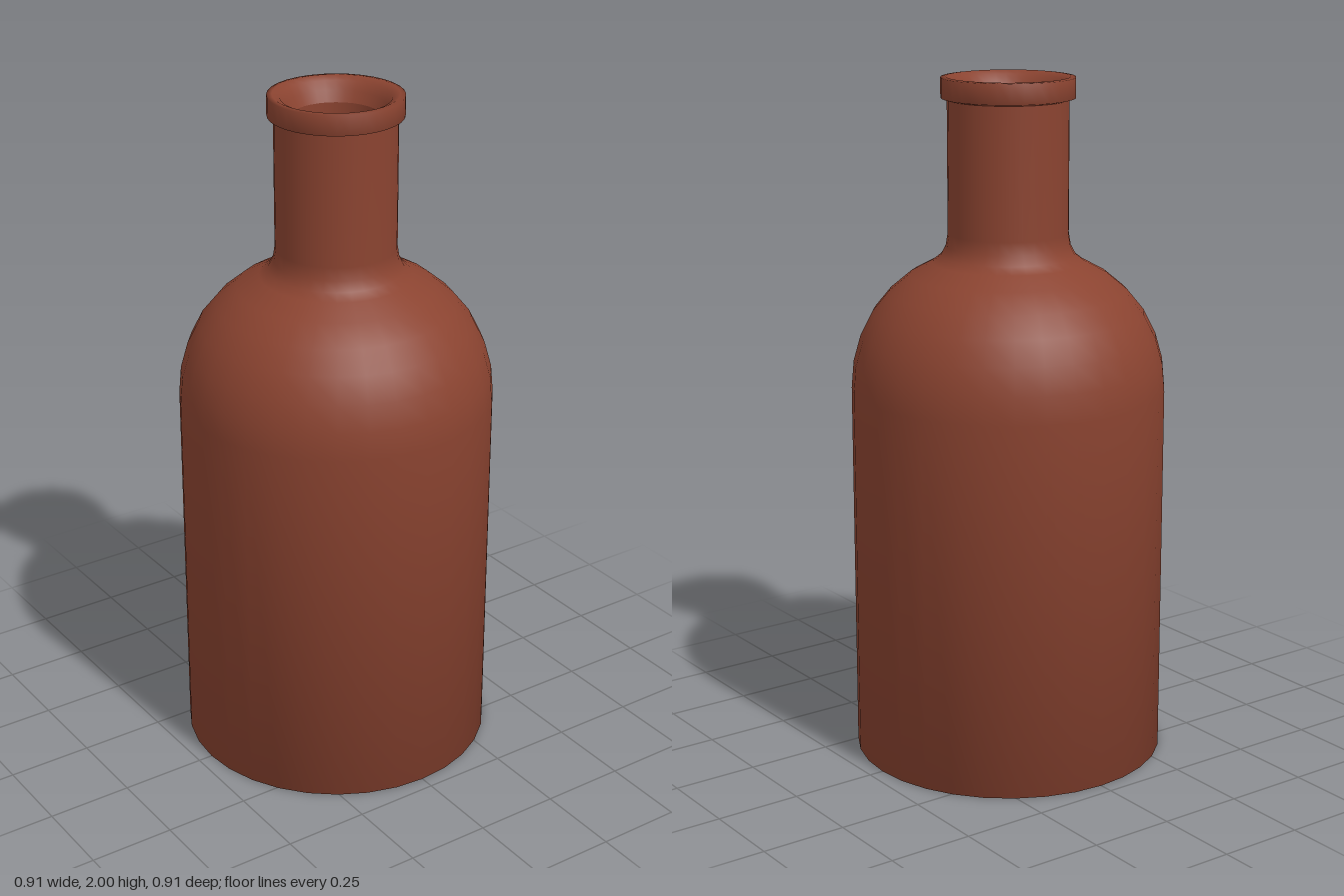
import * as THREE from 'three';

const SIDES = 32;

// Revolves a list of [radius, height] pairs about the y axis.
function turned(name, profile, material) {
  const points = profile.map(([r, y]) => new THREE.Vector2(r, y));
  const mesh = new THREE.Mesh(new THREE.LatheGeometry(points, SIDES), material);
  mesh.name = name;
  return mesh;
}

export function createModel() {
  const group = new THREE.Group();
  group.name = 'bottle';
  const clay = new THREE.MeshStandardMaterial({ color: 0x8a4330 });

  // Rounded shoulder, flaring into the neck
  const shoulder = [
    [0.457, 1.1], [0.45, 1.18], [0.429, 1.255], [0.394, 1.325], [0.345, 1.385],
    [0.285, 1.435], [0.22, 1.47], [0.195, 1.49], [0.18, 1.518], [0.174, 1.555],
  ];

  // Outer wall: flat base, straight body, shoulder and neck
  group.add(turned('outerWall', [[0, 0], [0.457, 0], ...shoulder, [0.174, 1.935]], clay));

  // Rim: square collar with a mouth that funnels inwards
  group.add(turned('rim', [
    [0.174, 1.935], [0.192, 1.94], [0.192, 1.998], [0.177, 2],
    [0.155, 1.99], [0.14, 1.965], [0.125, 1.935],
  ], clay));

  // Hollow inside: the shoulder and body set in by the wall thickness
  const wall = 0.048;
  const inner = shoulder.map(([r, y]) => [r - wall, y - wall * 0.6]).reverse();
  group.add(turned('innerWall', [[0.125, 1.935], ...inner, [0.409, 0.05]], clay));
  group.add(turned('innerFloor', [[0.409, 0.05], [0, 0.05]], clay));

  return group;
}
